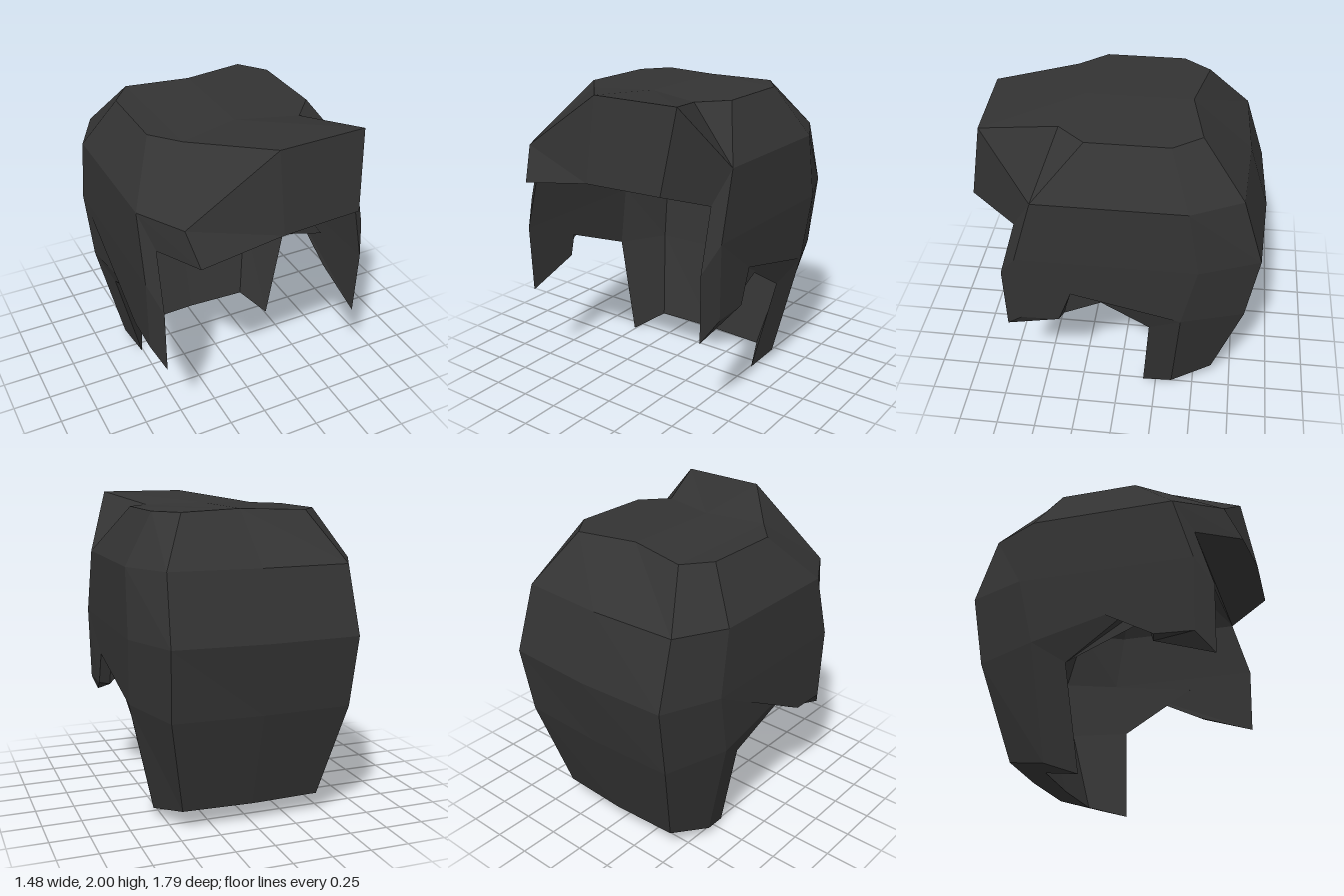
import * as THREE from 'three';

// Outer shell corner points for one half, in columns from the back centre (a)
// around the side (c, d) to the front (e, f); numbers rise from hem to crown.
const outer = {
  a0: [0, 0.13, -0.64], a1: [0, 0.75, -0.82], a2: [0, 1.2, -0.9], a3: [0, 1.62, -0.77], a4: [0, 1.94, -0.4],
  b0: [0.45, 0.13, -0.62], b1: [0.57, 0.75, -0.8], b2: [0.59, 1.2, -0.87], b3: [0.57, 1.62, -0.74], b4: [0.4, 1.93, -0.48],
  c0: [0.56, 0.07, -0.36], c1: [0.72, 0.78, -0.41], c2: [0.74, 1.2, -0.5], c3: [0.73, 1.62, -0.43], c4: [0.53, 1.93, -0.31],
  n: [0.73, 0.95, 0.27], p: [0.73, 0.73, 0.35],
  d1: [0.73, 0.72, 0.59], d2: [0.74, 1.2, 0.6], d3: [0.73, 1.62, 0.48], d4: [0.53, 1.93, 0.19],
  e4: [0.38, 1.93, 0.36], f4: [0, 1.94, 0.26], m: [0, 1.62, 0.48],
};

// The lining is a smaller copy, shifted down and forward
const inner = {};
for (const [key, [x, y, z]] of Object.entries(outer)) {
  inner[key] = [x * 0.91, y * 0.91 - 0.06, z * 0.91 + 0.163];
}
inner.n = [0.665, 0.945, 0.27];
inner.p = [0.66, 0.72, 0.33];

// Faces shared by the outer shell and the lining
const shellFaces = [['a4', 'f4', 'e4', 'd4', 'c4', 'b4'], ['d2', 'd1', 'p', 'n', 'c1', 'c2']];
for (const [cur, next, from] of [['a', 'b', 0], ['b', 'c', 0], ['c', 'd', 2]]) {
  for (let i = from; i < 4; i++) {
    shellFaces.push([next + (i + 1), next + i, cur + i, cur + (i + 1)]);
  }
}
const liningFaces = [...shellFaces, ['e4', 'd3', 'd4'], ['f4', 'm', 'd3', 'e4']];
const hem = ['a0', 'b0', 'c0', 'c1', 'n', 'p', 'd1', 'd2', 'd3'];

// Flat-shaded geometry from convex corner loops, each split as a fan
function facesGeometry(faces) {
  const pos = [];
  for (const f of faces) {
    for (let i = 1; i < f.length - 1; i++) pos.push(...f[0], ...f[i], ...f[i + 1]);
  }
  const geometry = new THREE.BufferGeometry();
  geometry.setAttribute('position', new THREE.Float32BufferAttribute(pos, 3));
  geometry.computeVertexNormals();
  return geometry;
}

// Mirror faces across x = 0, keeping them facing outward
const mirror = (faces) => faces.map((f) => f.map(([x, y, z]) => [-x, y, z]).reverse());
const bothSides = (faces) => [...faces, ...mirror(faces)];

// Fringe half: raised on one side, swept down on the other
function fringeHalf(top, low) {
  const top0 = [0, 2, 0.8], low0 = [0, 1.5, 0.89];
  const { d3, d4, e4, f4 } = outer;
  return [
    [e4, top, d3, d4],
    [f4, top0, top, e4],
    [top0, low0, low, top],
    [top, low, inner.d3, d3],
    [low, low0, inner.m, inner.d3],
  ];
}

export function createModel() {
  const group = new THREE.Group();
  group.name = 'hair';
  const material = new THREE.MeshStandardMaterial({ color: 0x333333, flatShading: true });
  const add = (name, faces) => {
    const mesh = new THREE.Mesh(facesGeometry(faces), material);
    mesh.name = name;
    group.add(mesh);
  };

  // Outside of the hair
  add('outerShell', bothSides(shellFaces.map((f) => f.map((k) => outer[k]))));

  // Inside of the hair
  add('lining', bothSides(liningFaces.map((f) => f.map((k) => inner[k]).reverse())));

  // Thickness along the hem, ear notches and sideburns
  const rim = [];
  for (let i = 0; i < hem.length - 1; i++) {
    const [u, v] = [hem[i], hem[i + 1]];
    rim.push([outer[u], outer[v], inner[v], inner[u]]);
  }
  add('hemRim', bothSides(rim));

  // Asymmetric fringe
  add('fringe', [
    ...fringeHalf([0.56, 2, 0.78], [0.51, 1.51, 0.87]),
    ...mirror(fringeHalf([0.56, 1.62, 0.77], [0.51, 1.41, 0.87])),
  ]);
  return group;
}
